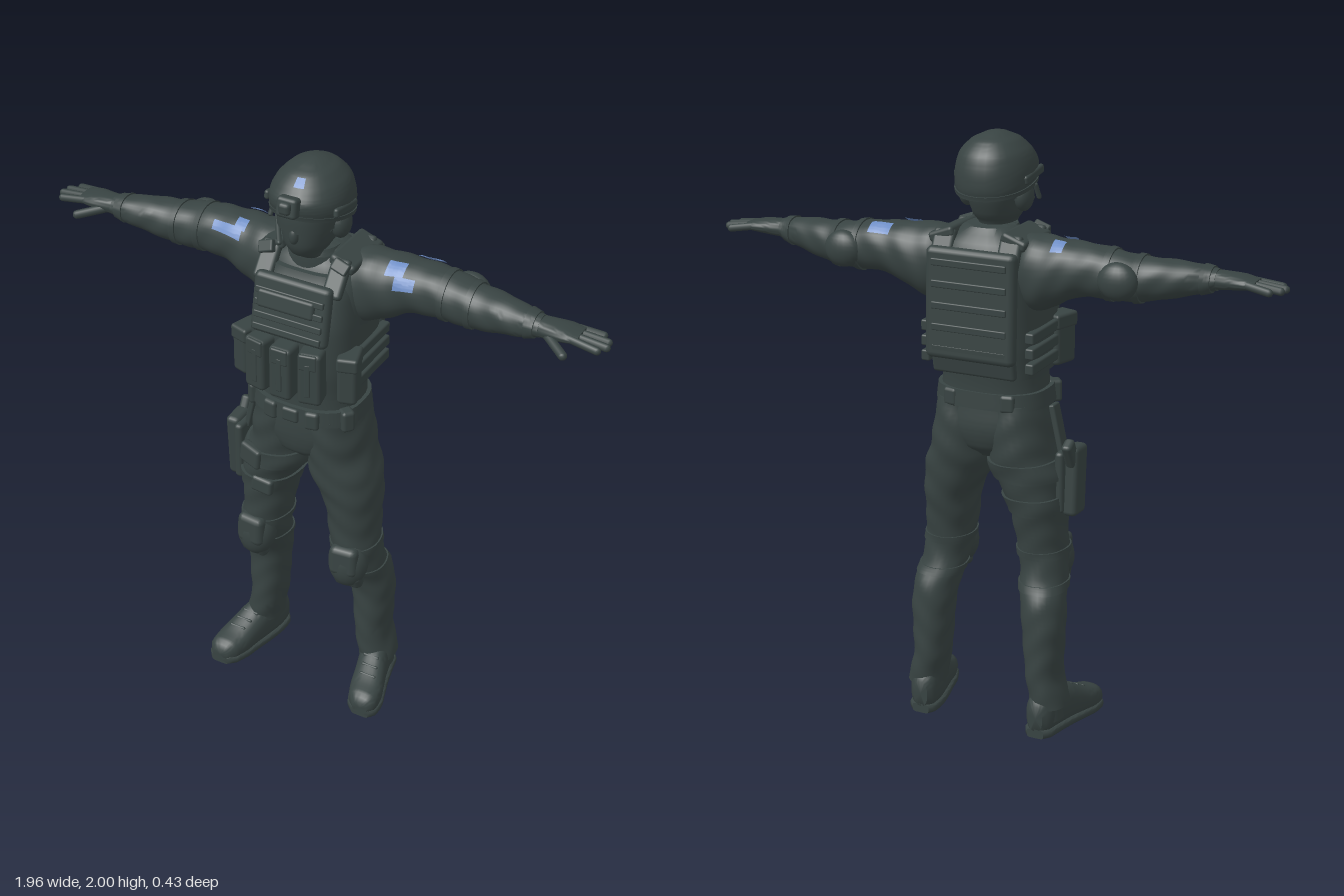
import * as THREE from 'three';
import { toCreasedNormals } from 'three/addons/utils/BufferGeometryUtils.js';
import { RoundedBoxGeometry } from 'three/addons/geometries/RoundedBoxGeometry.js';

const gear = new THREE.MeshStandardMaterial({ color: 0x384342 });
gear.name = 'darkGear';
const blue = new THREE.MeshStandardMaterial({ color: 0x6c8cc4, side: THREE.DoubleSide });
blue.name = 'patchBlue';

// Smooth skin over rings [pos, centreU, centreV, radiusU, radiusV] along an axis.
// u,v are x,z for axis y; z,y for axis x; y,x for axis z.
const FRAMES = { y: [1, 0, 2], x: [0, 2, 1], z: [2, 1, 0] };
function loft(axis, rings, o = {}) {
  const { n = 2, segs = 32, steps = 28, off = 0, wrinkle = 0, a0 = 0, a1 = 360, warp } = o;
  const { t0 = rings[0][0], t1 = rings.at(-1)[0] } = o;
  const [A, U, V] = FRAMES[axis], pos = [], idx = [], W = segs + 1;
  const at = (t) => {
    let i = 0;
    while (i < rings.length - 2 && t > rings[i + 1][0]) i++;
    const r = (k) => rings[Math.min(Math.max(k, 0), rings.length - 1)];
    const f = (t - r(i)[0]) / (r(i + 1)[0] - r(i)[0]);
    return [1, 2, 3, 4].map((k) => {
      const [p, q, s, w] = [r(i - 1)[k], r(i)[k], r(i + 1)[k], r(i + 2)[k]];
      return q + 0.5 * f * (s - p + f * (2 * p - 5 * q + 4 * s - w + f * (3 * (q - s) + w - p)));
    });
  };
  const push = (t, u, v) => {
    const p = [0, 0, 0];
    p[A] = t; p[U] = u; p[V] = v;
    if (warp) warp(p);
    pos.push(...p);
  };
  const pw = (c) => Math.sign(c) * Math.abs(c) ** (2 / n);
  for (let i = 0; i <= steps; i++) {
    const t = t0 + (t1 - t0) * i / steps, [cu, cv, ru, rv] = at(t);
    for (let j = 0; j <= segs; j++) {
      const a = (a0 + (a1 - a0) * j / segs) * Math.PI / 180;
      const k = 1 + wrinkle * Math.sin(t * 60 + 2.5 * Math.sin(2 * a));
      push(t, cu + (ru * k + off) * pw(Math.cos(a)), cv + (rv * k + off) * pw(Math.sin(a)));
    }
  }
  for (let i = 0; i < steps; i++) for (let j = 0; j < segs; j++) {
    const a = i * W + j, c = a + W;
    idx.push(a, c, a + 1, a + 1, c, c + 1);
  }
  if (a1 - a0 === 360) {
    const k = pos.length / 3, top = steps * W, e0 = at(t0), e1 = at(t1);
    push(t0, e0[0], e0[1]);
    push(t1, e1[0], e1[1]);
    for (let j = 0; j < segs; j++) idx.push(k, j, j + 1, k + 1, top + j + 1, top + j);
  }
  const g = new THREE.BufferGeometry();
  g.setAttribute('position', new THREE.Float32BufferAttribute(pos, 3));
  g.setIndex(idx);
  return toCreasedNormals(g, 0.8);
}

const place = (g, [x, y, z], [rx, ry, rz] = [0, 0, 0]) =>
  g.rotateX(rx).rotateY(ry).rotateZ(rz).translate(x, y, z);
const box = (w, h, d, p, r, round = 0.012) =>
  place(new RoundedBoxGeometry(w, h, d, 2, Math.min(round, w / 2.1, h / 2.1, d / 2.1)), p, r);
const ball = (w, h, d, p, r) => place(new THREE.SphereGeometry(1, 20, 14).scale(w, h, d), p, r);
function rod(a, b, r) {
  const p = new THREE.Vector3(...a), q = new THREE.Vector3(...b), d = q.clone().sub(p);
  const g = new THREE.CapsuleGeometry(r, d.length(), 4, 10);
  const turn = new THREE.Quaternion().setFromUnitVectors(new THREE.Vector3(0, 1, 0), d.clone().normalize());
  return g.applyQuaternion(turn).translate(...p.add(q).multiplyScalar(0.5).toArray());
}
// Copy to the other side of x = 0, keeping faces outward
function mirror(g) {
  const m = g.index ? g.toNonIndexed() : g.clone();
  m.scale(-1, 1, 1);
  for (const key of Object.keys(m.attributes)) {
    const { array: v, itemSize: s } = m.attributes[key];
    for (let i = 0; i < v.length; i += 3 * s) for (let k = 0; k < s; k++)
      [v[i + s + k], v[i + 2 * s + k]] = [v[i + 2 * s + k], v[i + s + k]];
  }
  return m;
}

export function createModel() {
  const model = new THREE.Group();
  model.name = 'tacticalOfficer';
  const add = (name, g, mat = gear) => {
    const m = new THREE.Mesh(g, mat);
    m.name = name;
    model.add(m);
  };
  const pair = (name, g) => {
    add(name + 'Left', g);
    add(name + 'Right', mirror(g));
  };

  // Head and face
  const head = [[1.6, 0, -0.035, 0.09, 0.085], [1.68, 0, -0.02, 0.07, 0.072], [1.705, 0, 0.01, 0.055, 0.078],
    [1.74, 0, 0.008, 0.075, 0.1], [1.8, 0, 0, 0.087, 0.114], [1.86, 0, 0, 0.09, 0.114], [1.92, 0, 0, 0.08, 0.1]];
  add('head', loft('y', head, { n: 2.2 }));
  add('goggles', loft('y', head, { n: 2.3, t0: 1.798, t1: 1.85, off: 0.009, steps: 6 }));
  add('nose', ball(0.016, 0.028, 0.016, [0, 1.785, 0.113]));
  add('collar', loft('y', [[1.64, 0, -0.04, 0.11, 0.1], [1.69, 0, -0.03, 0.09, 0.09], [1.71, 0, -0.03, 0.08, 0.08]]));

  // Helmet, its rim, rails, mount, ear cups and chin straps
  const dome = [[1.83, 0, -0.005, 0.122, 0.14], [1.86, 0, -0.005, 0.126, 0.147], [1.9, 0, -0.005, 0.123, 0.144],
    [1.94, 0, -0.007, 0.107, 0.124], [1.975, 0, -0.01, 0.073, 0.087], [1.995, 0, -0.01, 0.03, 0.038], [2, 0, -0.01, 0.003, 0.004]];
  const warp = (p) => { p[1] += p[2] * 0.2 * Math.min(1, Math.max(0, (1.93 - p[1]) / 0.08)); };
  add('helmet', loft('y', dome, { n: 2.15, warp }));
  add('helmetRim', loft('y', dome, { n: 2.15, warp, t0: 1.828, t1: 1.842, off: 0.004, steps: 3 }));
  add('helmetPatch', loft('y', dome, { n: 2.15, warp, t0: 1.95, t1: 1.972, off: 0.004, a0: 74, a1: 91, segs: 6, steps: 4 }), blue);
  add('helmetMount', box(0.07, 0.065, 0.04, [0, 1.9, 0.145], [-0.2, 0, 0]));
  add('mountBlock', box(0.04, 0.04, 0.03, [0, 1.905, 0.165]));
  pair('helmetRail', box(0.018, 0.03, 0.13, [0.12, 1.865, 0.01], [-0.15, 0, 0]));
  pair('earCup', ball(0.03, 0.05, 0.042, [0.097, 1.8, -0.01]));
  pair('chinStrap', rod([0.088, 1.8, 0.02], [0.03, 1.712, 0.07], 0.007));
  add('microphone', rod([-0.112, 1.79, 0.02], [-0.055, 1.745, 0.108], 0.008));
  add('antenna', rod([-0.122, 1.83, 0.02], [-0.128, 1.79, 0.035], 0.008));

  // Torso and plate carrier
  add('torso', loft('y', [[1.1, 0, -0.01, 0.182, 0.14], [1.2, 0, -0.01, 0.172, 0.138], [1.35, 0, -0.02, 0.175, 0.15],
    [1.5, 0, -0.035, 0.18, 0.155], [1.6, 0, -0.05, 0.18, 0.135], [1.66, 0, -0.055, 0.155, 0.11], [1.71, 0, -0.05, 0.08, 0.07]], { n: 2.5 }));
  add('vest', loft('y', [[1.235, 0, -0.012, 0.178, 0.15], [1.34, 0, -0.015, 0.184, 0.165], [1.48, 0, -0.027, 0.176, 0.175],
    [1.58, 0, -0.045, 0.16, 0.16], [1.645, 0, -0.055, 0.135, 0.135]], { n: 3.6, segs: 40 }));
  add('chestPlate', box(0.27, 0.2, 0.04, [0, 1.535, 0.128], [-0.2, 0, 0], 0.018));
  add('backPlate', box(0.31, 0.36, 0.045, [0, 1.475, -0.189], [0.03, 0, 0], 0.02));
  add('backLowerPanel', box(0.29, 0.1, 0.03, [0, 1.29, -0.172], [-0.2, 0, 0]));
  [1.465, 1.505, 1.545, 1.585].forEach((y, i) => {
    add('chestWebbing' + i, box(0.24, 0.022, 0.012, [0, y, 0.152 - (y - 1.535) * 0.2], [-0.2, 0, 0], 0.004));
  });
  [1.33, 1.4, 1.47, 1.54, 1.61].forEach((y, i) =>
    add('backWebbing' + i, box(0.26, 0.024, 0.01, [0, y, -0.211], [0, 0, 0], 0.004)));
  add('chestPouch', box(0.2, 0.06, 0.022, [-0.01, 1.56, 0.147], [-0.2, 0, 0]));
  pair('shoulderStrap', box(0.09, 0.035, 0.2, [0.125, 1.682, -0.055], [0, 0, -0.35]));
  pair('frontStrap', box(0.065, 0.13, 0.03, [0.122, 1.645, 0.062], [-0.65, 0, 0]));
  pair('strapBuckle', box(0.055, 0.04, 0.025, [0.13, 1.685, 0.055], [-0.6, 0, -0.35], 0.006));
  pair('rearStrap', box(0.075, 0.12, 0.03, [0.115, 1.645, -0.155], [0.45, 0, 0]));

  // Pouches around the vest
  for (const s of [-1, 0, 1]) {
    add('magazinePouch', box(0.078, 0.185, 0.075, [s * 0.092, 1.342, 0.176 - 0.012 * Math.abs(s)], [0, s * 0.2, 0], 0.014));
    add('pouchFlap', box(0.06, 0.055, 0.02, [s * 0.094, 1.405, 0.206 - 0.012 * Math.abs(s)], [0, s * 0.2, 0], 0.006));
    add('pouchStrap', box(0.02, 0.12, 0.014, [s * 0.094, 1.34, 0.21 - 0.012 * Math.abs(s)], [0, s * 0.2, 0], 0.004));
  }
  pair('sidePouch', box(0.065, 0.17, 0.095, [0.181, 1.325, 0.085], [0, 0.3, 0], 0.015));
  pair('sidePouchFlap', box(0.07, 0.05, 0.1, [0.182, 1.385, 0.086], [0, 0.3, 0], 0.01));
  for (const y of [1.28, 1.33, 1.38])
    pair('cummerbundBand', box(0.03, 0.036, 0.2, [0.183, y, -0.055], [0, 0, 0], 0.006));

  // Belt with buckle and small cases
  const belt = [[1.115, 0, -0.006, 0.186, 0.143], [1.19, 0, -0.006, 0.178, 0.14]];
  add('belt', loft('y', belt, { n: 2.6, t0: 1.125, t1: 1.18, off: 0.008, steps: 4 }));
  add('beltBuckle', box(0.06, 0.05, 0.02, [0, 1.15, 0.142]));
  pair('beltFrontCase', box(0.05, 0.065, 0.03, [0.075, 1.147, 0.135], [0, 0.2, 0]));
  pair('beltSideCase', box(0.045, 0.075, 0.05, [0.167, 1.147, 0.075], [0, 0.9, 0]));
  pair('beltRearCase', box(0.05, 0.06, 0.025, [0.1, 1.15, -0.137], [0, -0.2, 0]));

  // Trousers
  add('pelvis', loft('y', [[0.945, 0, -0.01, 0.04, 0.08], [0.985, 0, -0.012, 0.13, 0.125], [1.05, 0, -0.014, 0.188, 0.142], [1.14, 0, -0.01, 0.182, 0.14]], { n: 2.3 }));
  const leg = [[0.1, 0.228, -0.07, 0.064, 0.08], [0.14, 0.222, -0.069, 0.061, 0.084], [0.2, 0.209, -0.07, 0.058, 0.085],
    [0.3, 0.206, -0.07, 0.065, 0.083], [0.4, 0.203, -0.068, 0.072, 0.082], [0.47, 0.194, -0.053, 0.075, 0.087],
    [0.55, 0.18, -0.015, 0.077, 0.09], [0.62, 0.171, 0, 0.08, 0.098], [0.7, 0.162, -0.004, 0.084, 0.104],
    [0.8, 0.153, -0.01, 0.092, 0.119], [0.9, 0.123, -0.012, 0.114, 0.132], [0.97, 0.106, -0.018, 0.104, 0.139],
    [1.05, 0.1, -0.015, 0.098, 0.142], [1.14, 0.092, -0.01, 0.09, 0.138]];
  const cloth = { n: 2.15, wrinkle: 0.02 };
  pair('trouserLeg', loft('y', leg, { ...cloth, steps: 70 }));
  const legBand = (t0, t1, off) => loft('y', leg, { ...cloth, t0, t1, off, steps: 6 });

  // Knee pads
  pair('kneePad', ball(0.07, 0.095, 0.06, [0.177, 0.575, 0.068], [-0.12, 0, 0]));
  pair('kneeCap', box(0.1, 0.11, 0.05, [0.178, 0.595, 0.1], [-0.05, 0.1, 0], 0.022));
  pair('kneeLowerShell', box(0.1, 0.07, 0.05, [0.182, 0.51, 0.075], [0.45, 0.1, 0], 0.02));
  pair('kneeStrapUpper', legBand(0.61, 0.635, 0.005));
  pair('kneeStrapLower', legBand(0.5, 0.525, 0.005));

  // Boots
  const boot = [[-0.16, 0.07, 0.215, 0.045, 0.026], [-0.14, 0.075, 0.217, 0.07, 0.044], [-0.08, 0.08, 0.223, 0.08, 0.052],
    [-0.01, 0.077, 0.238, 0.077, 0.055], [0.05, 0.062, 0.255, 0.06, 0.058], [0.1, 0.05, 0.268, 0.048, 0.06],
    [0.15, 0.043, 0.278, 0.04, 0.05], [0.17, 0.036, 0.281, 0.024, 0.028]];
  pair('boot', loft('z', boot, { n: 2.5 }));
  pair('bootSole', loft('z', boot.map(([z, , x, , r]) => [z, 0.016, x, 0.016, r + 0.004]), { n: 5 }));
  pair('bootShaft', loft('y', [[0.05, 0.226, -0.07, 0.052, 0.075], [0.17, 0.22, -0.07, 0.053, 0.075]], { steps: 4 }));
  [[0.015, 0.14, 0.243], [0.045, 0.124, 0.253], [0.075, 0.108, 0.262]].forEach(([z, y, x]) =>
    pair('bootLace', rod([x - 0.025, y - 0.005, z], [x + 0.025, y - 0.005, z], 0.006)));

  // Sleeves, elbow pads and cuffs
  const arm = [[0.1, -0.055, 1.59, 0.085, 0.095], [0.17, -0.068, 1.578, 0.1, 0.122], [0.24, -0.077, 1.587, 0.097, 0.109],
    [0.32, -0.082, 1.605, 0.088, 0.087], [0.4, -0.086, 1.607, 0.082, 0.08], [0.48, -0.085, 1.6, 0.078, 0.075],
    [0.55, -0.075, 1.599, 0.07, 0.068], [0.62, -0.065, 1.605, 0.064, 0.06], [0.7, -0.051, 1.61, 0.052, 0.047], [0.76, -0.045, 1.614, 0.041, 0.033]];
  pair('sleeve', loft('x', arm, { ...cloth, steps: 60 }));
  const armBand = (t0, t1, off) => loft('x', arm, { ...cloth, t0, t1, off, steps: 6 });
  pair('elbowPad', ball(0.066, 0.06, 0.04, [0.475, 1.6, -0.152]));
  pair('elbowStrapInner', armBand(0.425, 0.445, 0.005));
  pair('elbowStrapOuter', armBand(0.515, 0.535, 0.005));
  pair('cuff', armBand(0.715, 0.745, 0.005));

  // Blue sleeve patches
  const patch = (t0, t1, a0, a1) => loft('x', arm, { ...cloth, t0, t1, a0, a1, off: 0.006, segs: 10, steps: 10 });
  add('patchTopLeft', patch(0.31, 0.385, 110, 142), blue);
  add('patchFrontLeft', patch(0.25, 0.31, 40, 72), blue);
  add('patchSideLeft', patch(0.285, 0.35, 14, 40), blue);
  add('patchTopRight', mirror(patch(0.25, 0.29, 108, 138)), blue);
  add('patchShoulderRight', mirror(patch(0.25, 0.29, 46, 72)), blue);
  add('patchFrontRight', mirror(patch(0.26, 0.37, 27, 50)), blue);

  // Gloved hands
  pair('palm', loft('x', [[0.73, -0.045, 1.614, 0.036, 0.03], [0.78, -0.045, 1.615, 0.042, 0.028],
    [0.84, -0.047, 1.617, 0.05, 0.022], [0.885, -0.05, 1.615, 0.046, 0.014]], { n: 2.4, steps: 10 }));
  [[-0.085, -0.098, 0.935], [-0.062, -0.068, 0.962], [-0.038, -0.038, 0.968], [-0.014, -0.008, 0.95]].forEach(([z0, z1, x]) =>
    pair('finger', rod([0.86, 1.617, z0], [x, 1.606, z1], 0.0125)));
  pair('thumb', rod([0.785, 1.605, -0.02], [0.862, 1.588, 0.038], 0.0145));

  // Thigh holster on the right leg
  add('thighStrapUpper', mirror(legBand(0.885, 0.945, 0.009)));
  add('thighStrapLower', mirror(legBand(0.77, 0.825, 0.009)));
  add('holsterPanel', box(0.03, 0.21, 0.13, [-0.243, 0.875, 0.01]));
  add('holster', box(0.05, 0.235, 0.09, [-0.274, 0.875, 0.01], [0.06, 0, 0], 0.016));
  add('pistolGrip', box(0.034, 0.1, 0.05, [-0.274, 0.975, -0.03], [-0.5, 0, 0]));
  add('holsterHanger', box(0.02, 0.17, 0.05, [-0.215, 1.04, 0.01], [0, 0, -0.22], 0.006));
  add('thighPouchUpper', box(0.09, 0.075, 0.035, [-0.165, 0.915, 0.112], [0, -0.3, -0.1]));
  add('thighPouchLower', box(0.08, 0.06, 0.03, [-0.13, 0.8, 0.105], [0, 0, -0.1]));
  return model;
}
